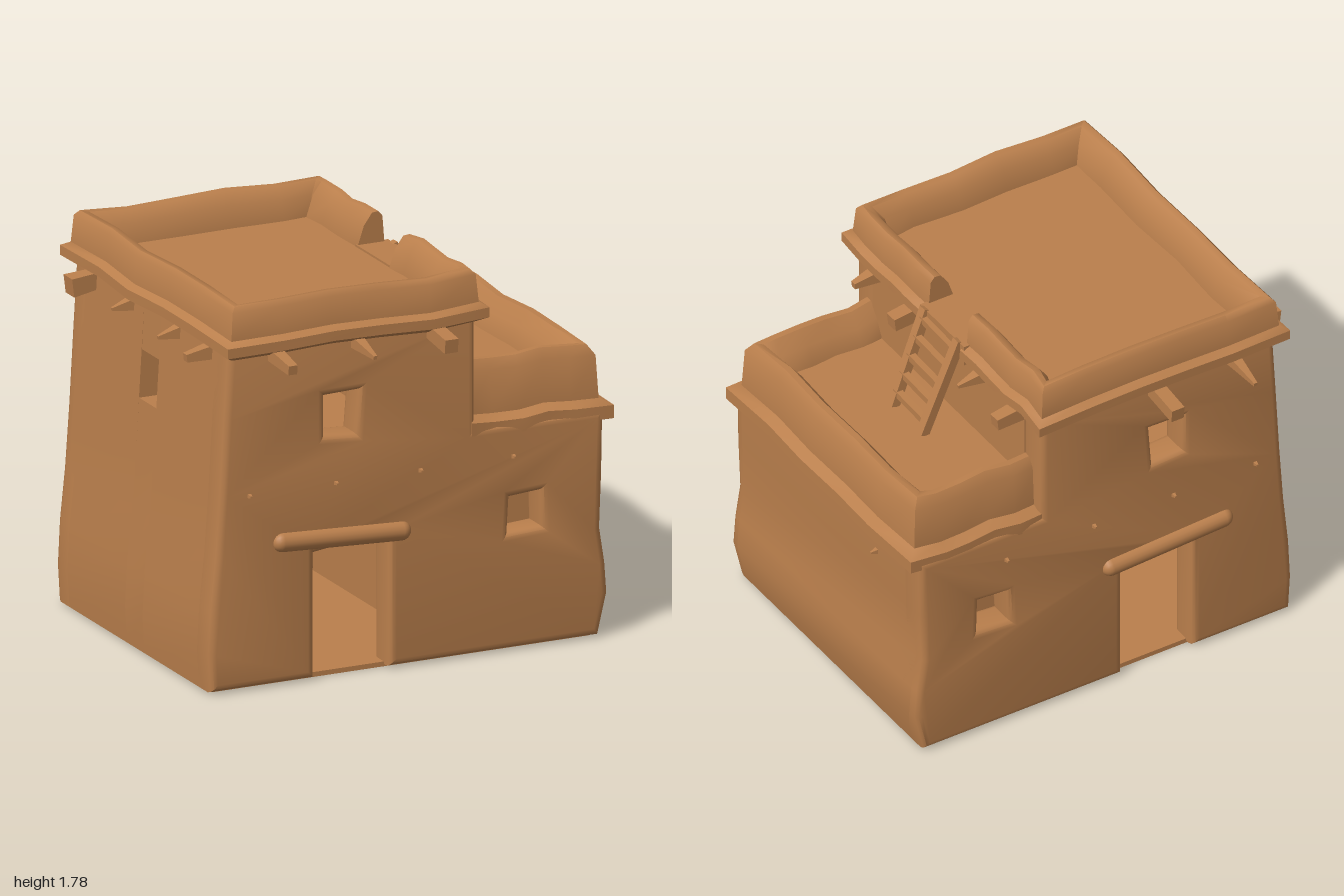
import * as THREE from 'three';
import { toCreasedNormals } from 'three/addons/utils/BufferGeometryUtils.js';

const clay = new THREE.MeshStandardMaterial({ color: 0xba7f4c });
clay.name = 'adobe clay';

export function createModel() {
  const house = new THREE.Group();
  house.name = 'adobeHouse';

  const add = (name, geometry) => {
    const mesh = new THREE.Mesh(geometry, clay);
    mesh.name = name;
    house.add(mesh);
    return mesh;
  };
  const box = (name, x0, x1, y0, y1, z0, z1) => add(name,
    new THREE.BoxGeometry(x1 - x0, y1 - y0, z1 - z0)
      .translate((x0 + x1) / 2, (y0 + y1) / 2, (z0 + z1) / 2));
  const shapeOf = (pts) => new THREE.Shape(pts.map(([x, y]) => new THREE.Vector2(x, y)));

  // Slab drawn in x/y and extruded from z0 to z1, with softened rims
  function slab(name, pts, z0, z1, soft = 0, holes = []) {
    const shape = shapeOf(pts);
    for (const h of holes) shape.holes.push(shapeOf(h));
    const geometry = new THREE.ExtrudeGeometry(shape, {
      depth: z1 - z0 - 2 * soft, bevelEnabled: soft > 0, bevelThickness: soft,
      bevelSize: soft, bevelOffset: -soft, bevelSegments: 3,
    }).translate(0, 0, z0 + soft);
    return add(name, toCreasedNormals(geometry, 0.8));
  }

  // Sweep a counter-clockwise (outward, height) profile along a mitred path, slightly uneven
  function sweep(name, corners, profile, seed) {
    const path = [];
    corners.slice(0, -1).forEach(([x, z], k) => {
      const [u, v] = corners[k + 1];
      for (let s = 0; s < 5; s++) path.push(new THREE.Vector2(x + (u - x) * s / 5, z + (v - z) * s / 5));
    });
    path.push(new THREE.Vector2(...corners.at(-1)));
    const normal = (a, b) => {
      const t = b.clone().sub(a).normalize();
      return new THREE.Vector2(-t.y, t.x);
    };
    const n = profile.length, last = path.length - 1, pos = [], idx = [];
    path.forEach((p, i) => {
      const a = normal(path[Math.max(i - 1, 0)], path[Math.max(i, 1)]);
      const b = normal(path[Math.min(i, last - 1)], path[Math.min(i + 1, last)]);
      const m = a.clone().add(b).divideScalar(1 + a.dot(b));
      const lift = 0.008 * Math.sin(i * 1.9 + seed), push = 0.007 * Math.sin(i * 2.7 + seed);
      for (const [d, y] of profile) pos.push(p.x + m.x * (d + push), y + lift, p.y + m.y * (d + push));
    });
    for (let i = 0; i < last; i++) for (let j = 0; j < n; j++) {
      const a = i * n + j, b = i * n + (j + 1) % n;
      idx.push(a, a + n, b + n, a, b + n, b);
    }
    const caps = THREE.ShapeUtils.triangulateShape(profile.map(([d, y]) => new THREE.Vector2(d, y)), []);
    for (const [a, b, c] of caps) idx.push(a, b, c, last * n + a, last * n + c, last * n + b);
    const geometry = new THREE.BufferGeometry();
    geometry.setAttribute('position', new THREE.Float32BufferAttribute(pos, 3));
    geometry.setIndex(idx);
    return add(name, toCreasedNormals(geometry, 0.9));
  }

  // Weathered silhouettes of the two outer sides
  const left = [[-0.88, 1.58], [-0.9, 1.25], [-0.92, 0.9], [-0.94, 0.62], [-0.965, 0.38], [-0.975, 0.18], [-0.965, 0.01]];
  const right = [[0.92, 0.01], [0.965, 0.2], [0.955, 0.34], [0.93, 0.5], [0.94, 0.75], [0.945, 1.04]];

  // Front and back walls with doorway and windows
  const door = [[-0.46, 0.01], [-0.46, 0.58], [-0.38, 0.59], [-0.1, 0.6], [-0.1, 0.01]];
  const facade = [...left, ...door, ...right, [0.32, 1.04], [0.32, 1.58]];
  const windows = [
    [[-0.41, 1.11], [-0.26, 1.1], [-0.245, 1.295], [-0.41, 1.29]],
    [[0.48, 0.54], [0.64, 0.55], [0.635, 0.71], [0.49, 0.7]],
  ];
  slab('frontWall', facade, 0.6, 0.755, 0.035, windows);
  slab('backWall', facade, -0.755, -0.6, 0.035, windows);

  // Tower side wall, split around its window
  const strip = (y0, y1) => [
    ...left.filter(([, y]) => y > y0 && y < y1), [-0.78, y0], [-0.78, y1],
  ];
  const sideWall = [...left, [-0.78, 0.01], [-0.78, 1.58]];
  slab('towerSideWall', sideWall, -0.69, -0.07);
  slab('towerSideWall', sideWall, 0.1, 0.69);
  slab('towerSideWallBelowWindow', [[-0.907, 1.12], ...strip(0, 1.12)], -0.07, 0.1);
  slab('towerSideWallAboveWindow', [[-0.88, 1.58], [-0.893, 1.34], [-0.78, 1.34], [-0.78, 1.58]], -0.07, 0.1);

  // Solid low wing with the tower wall rising over it
  slab('wing', [[0.2, 0.01], ...right, [0.92, 1.06], [0.92, 1.18], [0.32, 1.18], [0.32, 1.58], [0.2, 1.58]], -0.62, 0.62);
  slab('wingOuterSide', [[0.8, 0.01], ...right, [0.8, 1.04]], -0.7, 0.7);

  // Floors and tower roof
  box('groundFloor', -0.93, 0.9, 0, 0.022, -0.7, 0.7);
  box('upperFloor', -0.85, 0.25, 0.87, 0.91, -0.65, 0.65);
  box('towerRoof', -0.8, 0.26, 1.54, 1.62, -0.7, 0.7);
  box('roofExitStep', 0.2, 0.36, 1.53, 1.63, -0.19, 0.17);

  // Rounded parapets with projecting ledges
  sweep('towerParapet',
    [[0.32, -0.17], [0.32, -0.77], [-0.87, -0.77], [-0.87, 0.77], [0.32, 0.77], [0.32, 0.155]],
    [[-0.12, 1.53], [0.0, 1.53], [0.045, 1.555], [0.045, 1.6], [0.01, 1.62], [0.0, 1.745],
      [-0.02, 1.768], [-0.05, 1.765], [-0.09, 1.71], [-0.12, 1.62]], 0.5);
  sweep('wingParapet',
    [[0.3, 0.69], [0.93, 0.69], [0.93, -0.69], [0.3, -0.69]],
    [[-0.15, 0.98], [0.015, 0.985], [0.06, 1.0], [0.06, 1.06], [0.01, 1.085], [0.0, 1.28],
      [-0.03, 1.325], [-0.06, 1.325], [-0.11, 1.26], [-0.15, 1.18]], 2);

  // Door lintels
  for (const s of [-1, 1]) {
    const lintel = add('doorLintel', new THREE.CapsuleGeometry(0.045, 0.58, 6, 16));
    lintel.rotation.z = Math.PI / 2 - 0.05;
    lintel.position.set(-0.33, 0.64, s * 0.745);
  }

  // Tapered square bar between two points
  function bar(name, from, to, r0, r1 = r0) {
    const a = new THREE.Vector3(...from), b = new THREE.Vector3(...to);
    const geometry = toCreasedNormals(
      new THREE.CylinderGeometry(r1, r0, a.distanceTo(b), 4).rotateY(Math.PI / 4), 0.3);
    const mesh = add(name, geometry);
    mesh.position.copy(a).add(b).multiplyScalar(0.5);
    mesh.quaternion.setFromUnitVectors(new THREE.Vector3(0, 1, 0), b.sub(a).normalize());
  }

  // Roof beam ends below the tower ledge
  for (const [x, r] of [[-0.66, 0.03], [-0.26, 0.012], [0.11, 0.045]])
    bar('roofBeamFront', [x, 1.53, 0.7], [x, 1.5, 0.94], 0.045, r);
  for (const [x, r] of [[-0.66, 0.012], [-0.26, 0.045]])
    bar('roofBeamBack', [x, 1.53, -0.7], [x, 1.5, -0.95], 0.045, r);
  for (const [z, r, x] of [[-0.57, 0.06, -1], [-0.19, 0.01, -0.98], [0.26, 0.01, -0.98], [0.57, 0.025, -1]])
    bar('roofBeamLeft', [-0.84, 1.52, z], [x, 1.5, z], 0.05, r);
  for (const [z, r] of [[-0.58, 0.04], [-0.28, 0.01], [0.26, 0.045], [0.57, 0.02]])
    bar('roofBeamRight', [0.28, 1.53, z], [0.45, 1.51, z], 0.05, r);

  // Small floor beam ends
  for (const s of [-1, 1]) for (const x of [-0.78, -0.36, 0.05, 0.5])
    bar('floorBeamEnd', [x, 0.89, s * 0.7], [x, 0.89, s * 0.775], 0.03, 0.006);
  bar('floorBeamEndRight', [0.9, 0.89, -0.4], [0.975, 0.89, -0.4], 0.03, 0.005);

  // Ladder from the wing roof to the tower roof
  const top = [0.35, 1.63], foot = [0.53, 1.18];
  for (const s of [-1, 1]) bar('ladderRail', [...foot, s * 0.12], [...top, s * 0.135], 0.03);
  for (let i = 0; i < 5; i++) {
    const t = 0.12 + i * 0.19;
    const x = foot[0] + (top[0] - foot[0]) * t, y = foot[1] + (top[1] - foot[1]) * t;
    bar('ladderRung', [x, y, -0.13], [x, y + 0.01, 0.13], 0.022);
  }
  return house;
}
